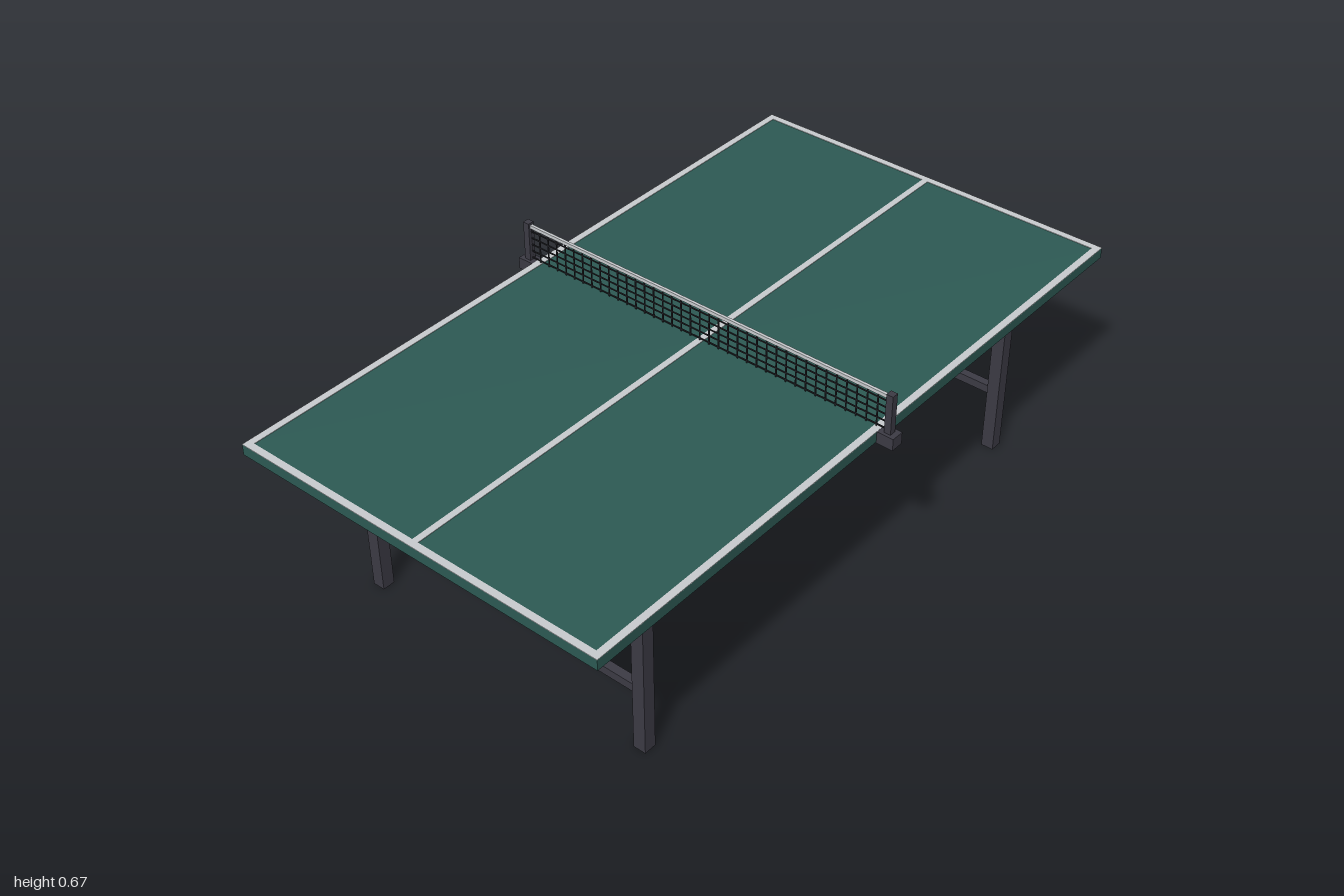
import * as THREE from 'three';

const material = (name, color) => {
  const m = new THREE.MeshStandardMaterial({ color });
  m.name = name;
  return m;
};

export function createModel() {
  const green = material('table green', 0x2d5a54);
  const white = material('line white', 0xc9cccf);
  const steel = material('dark steel', 0x3c3b45);
  const cord = material('net cord', 0x26262b);

  const model = new THREE.Group();
  model.name = 'tableTennisTable';

  const box = (parent, name, mat, size, pos) => {
    const mesh = new THREE.Mesh(new THREE.BoxGeometry(...size), mat);
    mesh.position.set(...pos);
    mesh.name = name;
    parent.add(mesh);
    return mesh;
  };
  const group = (name) => {
    const g = new THREE.Group();
    g.name = name;
    model.add(g);
    return g;
  };

  // Playing surface
  const topY = 0.557, halfW = 0.555, lineW = 0.02;
  box(model, 'tableTop', green, [halfW * 2, 0.03, 2], [0, topY - 0.015, 0]);

  // Painted lines: sides, ends and centre
  const lines = group('lines');
  const lineY = topY + 0.0005;
  for (const s of [-1, 1]) {
    box(lines, 'sideLine', white, [lineW, 0.002, 2], [s * (halfW - lineW / 2), lineY, 0]);
    box(lines, 'endLine', white, [2 * (halfW - lineW), 0.002, lineW], [0, lineY, s * (1 - lineW / 2)]);
  }
  box(lines, 'centreLine', white, [0.018, 0.002, 2 - 2 * lineW], [0, lineY, 0]);

  // Underframe: legs, long rails, cross rails and stretchers
  const frame = group('frame');
  const legX = 0.438, legZ = 0.73;
  for (const sx of [-1, 1]) {
    for (const sz of [-1, 1]) {
      box(frame, 'leg', steel, [0.036, 0.528, 0.036], [sx * legX, 0.264, sz * legZ]);
    }
    box(frame, 'sideRail', steel, [0.028, 0.05, 1.53], [sx * legX, 0.496, 0]);
  }
  for (const sz of [-1, 1]) {
    box(frame, 'crossRail', steel, [legX * 2, 0.05, 0.028], [0, 0.485, sz * legZ]);
    box(frame, 'stretcher', steel, [legX * 2, 0.024, 0.024], [0, 0.186, sz * legZ]);
  }

  // Net posts with edge clamps
  const net = group('net');
  for (const s of [-1, 1]) {
    box(net, 'netClamp', steel, [0.05, 0.034, 0.037], [s * 0.577, 0.541, 0]);
    box(net, 'netPost', steel, [0.019, 0.13, 0.019], [s * 0.578, 0.605, 0]);
  }

  // Net tape and mesh cords
  const netHalf = 0.57;
  box(net, 'netTape', white, [netHalf * 2, 0.01, 0.008], [0, 0.659, 0]);
  for (let i = 0; i < 5; i++) {
    box(net, 'netRow', cord, [netHalf * 2, 0.003, 0.003], [0, 0.564 + i * 0.02, 0]);
  }
  const columns = 38;
  for (let i = 0; i <= columns; i++) {
    const x = -netHalf + (2 * netHalf * i) / columns;
    box(net, 'netColumn', cord, [0.003, 0.098, 0.003], [x, 0.607, 0]);
  }

  return model;
}
